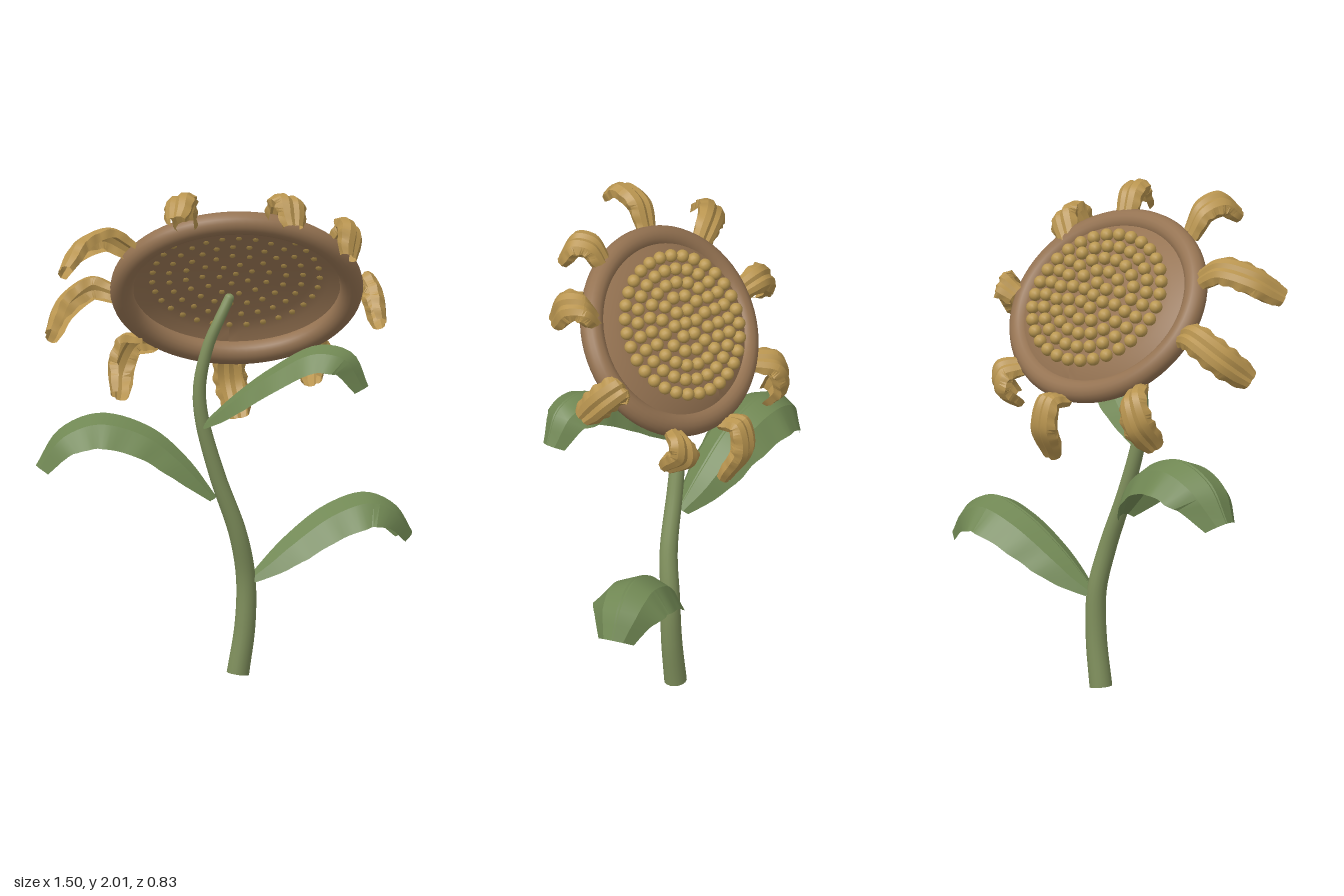
import * as THREE from 'three';
import { toCreasedNormals } from 'three/addons/utils/BufferGeometryUtils.js';

const V = (a) => new THREE.Vector3(...a);
const mat = (name, color, side = THREE.FrontSide) => {
  const m = new THREE.MeshStandardMaterial({ color, side });
  m.name = name;
  return m;
};

// Round tube along a curve whose radius shrinks from base to tip
function taperedTube(points, r0, r1) {
  const curve = new THREE.CatmullRomCurve3(points.map(V));
  const n = 48, sides = 16;
  const geo = new THREE.TubeGeometry(curve, n, 1, sides);
  const pos = geo.attributes.position, p = new THREE.Vector3();
  for (let i = 0; i <= n; i++) {
    const c = curve.getPointAt(i / n), r = r0 + (r1 - r0) * (i / n);
    for (let j = 0; j <= sides; j++) {
      const k = i * (sides + 1) + j;
      p.fromBufferAttribute(pos, k).sub(c).multiplyScalar(r).add(c);
      pos.setXYZ(k, p.x, p.y, p.z);
    }
  }
  return geo;
}

// Creased blade swept along a path: section points are [across, lift] in half-widths
function blade(points, side, section, widthAt, ruffle, n = 28) {
  const curve = new THREE.CatmullRomCurve3(points.map(V));
  const verts = [], idx = [], m = section.length;
  for (let i = 0; i <= n; i++) {
    const t = i / n, c = curve.getPointAt(t), tan = curve.getTangentAt(t);
    const s = side.clone().addScaledVector(tan, -side.dot(tan)).normalize();
    const up = s.clone().cross(tan);
    const w = widthAt(t);
    section.forEach(([a, h], j) => {
      const wave = Math.abs(a) > 0.75 ? 1 + ruffle * Math.sin(i * 1.25 + j) : 1;
      const v = c.clone().addScaledVector(s, a * w * wave).addScaledVector(up, h * w);
      verts.push(v.x, v.y, v.z);
      if (i < n && j < m - 1) {
        const k = i * m + j;
        idx.push(k, k + 1, k + m, k + 1, k + m + 1, k + m);
      }
    });
  }
  const geo = new THREE.BufferGeometry();
  geo.setAttribute('position', new THREE.Float32BufferAttribute(verts, 3));
  geo.setIndex(idx);
  return toCreasedNormals(geo, 0.36);
}

// Interpolates a short list of half-widths
const widths = (list) => (t) => {
  const f = t * (list.length - 1), i = Math.min(Math.floor(f), list.length - 2);
  return THREE.MathUtils.lerp(list[i], list[i + 1], f - i);
};

export function createModel() {
  const model = new THREE.Group();
  const stemMat = mat('stem green', 0x7f8f5c);
  const leafMat = mat('leaf green', 0x708753, THREE.DoubleSide);
  const headMat = mat('head brown', 0x957352, THREE.DoubleSide);
  const petalMat = mat('petal gold', 0xb8944f, THREE.DoubleSide);
  const seedMat = mat('seed gold', 0xb99750);
  const add = (parent, name, geo, material) => {
    const mesh = new THREE.Mesh(geo, material);
    mesh.name = name;
    parent.add(mesh);
    return mesh;
  };

  // Stem, closed at both ends
  add(model, 'stem', taperedTube([
    [0.04, 0.005, -0.063], [0.068, 0.2, -0.06], [0.07, 0.39, -0.055], [0.035, 0.57, -0.03],
    [-0.05, 0.81, -0.015], [-0.115, 1.05, -0.003], [-0.122, 1.18, 0.002], [-0.088, 1.34, 0.012],
    [-0.045, 1.44, 0.015], [-0.005, 1.52, 0.005],
  ], 0.045, 0.02), stemMat);
  const foot = add(model, 'stemFoot', new THREE.CircleGeometry(0.044, 16), stemMat);
  foot.rotation.x = Math.PI / 2;
  foot.position.set(0.04, 0.003, -0.063);
  const tip = add(model, 'stemTip', new THREE.SphereGeometry(0.02, 14, 10), stemMat);
  tip.position.set(-0.005, 1.52, 0.005);

  // Leaves: arched blades with a raised midrib and drooping edges
  const leafSection = [[-1, -0.75], [-0.55, -0.2], [-0.05, 0], [0, -0.02], [0.05, 0], [0.55, -0.2], [1, -0.75]];
  const leafWidth = widths([0.035, 0.095, 0.125, 0.142, 0.152, 0.158, 0.152, 0.13, 0.075]);
  const leaves = {
    lowerLeaf: [[0.08, 0.39, -0.06], [0.23, 0.54, -0.09], [0.4, 0.66, -0.12], [0.56, 0.705, -0.135], [0.68, 0.65, -0.145], [0.748, 0.54, -0.15]],
    middleLeaf: [[-0.05, 0.72, -0.03], [-0.16, 0.87, -0.08], [-0.3, 0.99, -0.12], [-0.5, 1.045, -0.16], [-0.66, 0.98, -0.17], [-0.75, 0.84, -0.17]],
    upperLeaf: [[-0.11, 1.02, 0], [0, 1.14, 0.07], [0.14, 1.26, 0.14], [0.32, 1.36, 0.21], [0.45, 1.33, 0.25], [0.51, 1.2, 0.265]],
  };
  for (const [name, pts] of Object.entries(leaves)) {
    const a = V(pts[0]), b = V(pts[pts.length - 1]);
    const side = b.sub(a).setY(0).normalize().cross(new THREE.Vector3(0, 1, 0));
    const scale = name === 'upperLeaf' ? 0.8 : 1;
    add(model, name, blade(pts, side, leafSection, (t) => leafWidth(t) * scale, 0.025), leafMat);
  }

  // Flower head: local z is the way the seeds face
  const normal = new THREE.Vector3(0.075, 0.6, -0.8).normalize();
  const across = new THREE.Vector3(-1, 0, 0);
  across.addScaledVector(normal, -across.dot(normal)).normalize();
  const upward = normal.clone().cross(across);
  const centre = new THREE.Vector3(0.03, 1.555, -0.03);
  const head = new THREE.Group();
  head.name = 'flowerHead';
  head.quaternion.setFromRotationMatrix(new THREE.Matrix4().makeBasis(across, upward, normal));
  head.position.copy(centre);
  model.add(head);

  // Oval rim
  const rx = 0.455, squash = 0.82;
  const oval = [];
  for (let i = 0; i < 24; i++) {
    const a = (i / 24) * Math.PI * 2;
    oval.push(new THREE.Vector3(rx * Math.cos(a), rx * squash * Math.sin(a), 0));
  }
  const ovalCurve = new THREE.CatmullRomCurve3(oval, true);
  add(head, 'rim', new THREE.TubeGeometry(ovalCurve, 72, 0.046, 16, true), headMat);

  // Shallow domed seed plate, hollow beneath
  const plateHeight = (r) => 0.075 - 0.18 * r * r;
  const profile = [[0.45, 0.02], [0.41, 0.028], [0.37, plateHeight(0.37)], [0.3, plateHeight(0.3)],
    [0.2, plateHeight(0.2)], [0.1, plateHeight(0.1)], [0, 0.075]].map((p) => new THREE.Vector2(...p));
  const plate = new THREE.LatheGeometry(profile, 56);
  plate.rotateX(Math.PI / 2).scale(1, squash, 1);
  plate.computeVertexNormals();
  add(head, 'seedPlate', plate, headMat);

  // Seeds in rings
  const seeds = new THREE.Group();
  seeds.name = 'seeds';
  head.add(seeds);
  const seedGeo = new THREE.SphereGeometry(0.026, 14, 10);
  [1, 6, 12, 19, 25, 31].forEach((count, ring) => {
    const r = ring * 0.067;
    for (let i = 0; i < count; i++) {
      const a = (i / count) * Math.PI * 2 + ring * 0.7;
      const seed = add(seeds, 'seed', seedGeo, seedMat);
      seed.position.set(r * Math.cos(a), r * squash * Math.sin(a), plateHeight(r) + 0.022);
    }
  });

  // Wilted petals curling away from the rim, broad to the ragged tip
  const petalSection = [[-0.75, -0.95], [-1, -0.5], [-0.7, -0.1], [-0.3, 0.05], [0, -0.08], [0.3, 0.05], [0.7, -0.1], [1, -0.5], [0.75, -0.95]];
  const petalWidth = widths([0.045, 0.055, 0.06, 0.064, 0.066, 0.066, 0.062, 0.045]);
  const petals = [
    [[-0.2, 1.85, 0.17], [-0.23, 1.96, 0.22], [-0.265, 1.99, 0.32], [-0.29, 1.92, 0.4]],
    [[0.15, 1.85, 0.17], [0.175, 1.96, 0.23], [0.2, 1.97, 0.31], [0.205, 1.87, 0.37]],
    [[0.38, 1.74, 0.09], [0.45, 1.83, 0.13], [0.475, 1.82, 0.22], [0.45, 1.72, 0.28]],
    [[0.49, 1.53, -0.08], [0.56, 1.57, -0.1], [0.605, 1.51, -0.03], [0.61, 1.41, 0.06]],
    [[0.32, 1.31, -0.21], [0.38, 1.29, -0.29], [0.395, 1.21, -0.3], [0.375, 1.13, -0.2]],
    [[0.04, 1.24, -0.27], [0.05, 1.25, -0.37], [0.06, 1.12, -0.405], [0.08, 0.98, -0.32]],
    [[-0.28, 1.33, -0.2], [-0.355, 1.31, -0.32], [-0.41, 1.2, -0.33], [-0.425, 1.09, -0.24]],
    [[-0.42, 1.54, -0.11], [-0.53, 1.57, -0.16], [-0.67, 1.49, -0.12], [-0.735, 1.39, -0.01]],
    [[-0.38, 1.73, 0.03], [-0.5, 1.8, 0.04], [-0.64, 1.77, 0.11], [-0.71, 1.69, 0.21]],
  ];
  petals.forEach((pts) => {
    const out = V(pts[0]).sub(centre);
    out.addScaledVector(normal, -out.dot(normal)).normalize();
    add(model, 'petal', blade(pts, out.cross(normal), petalSection, petalWidth, 0.07), petalMat);
  });

  return model;
}
